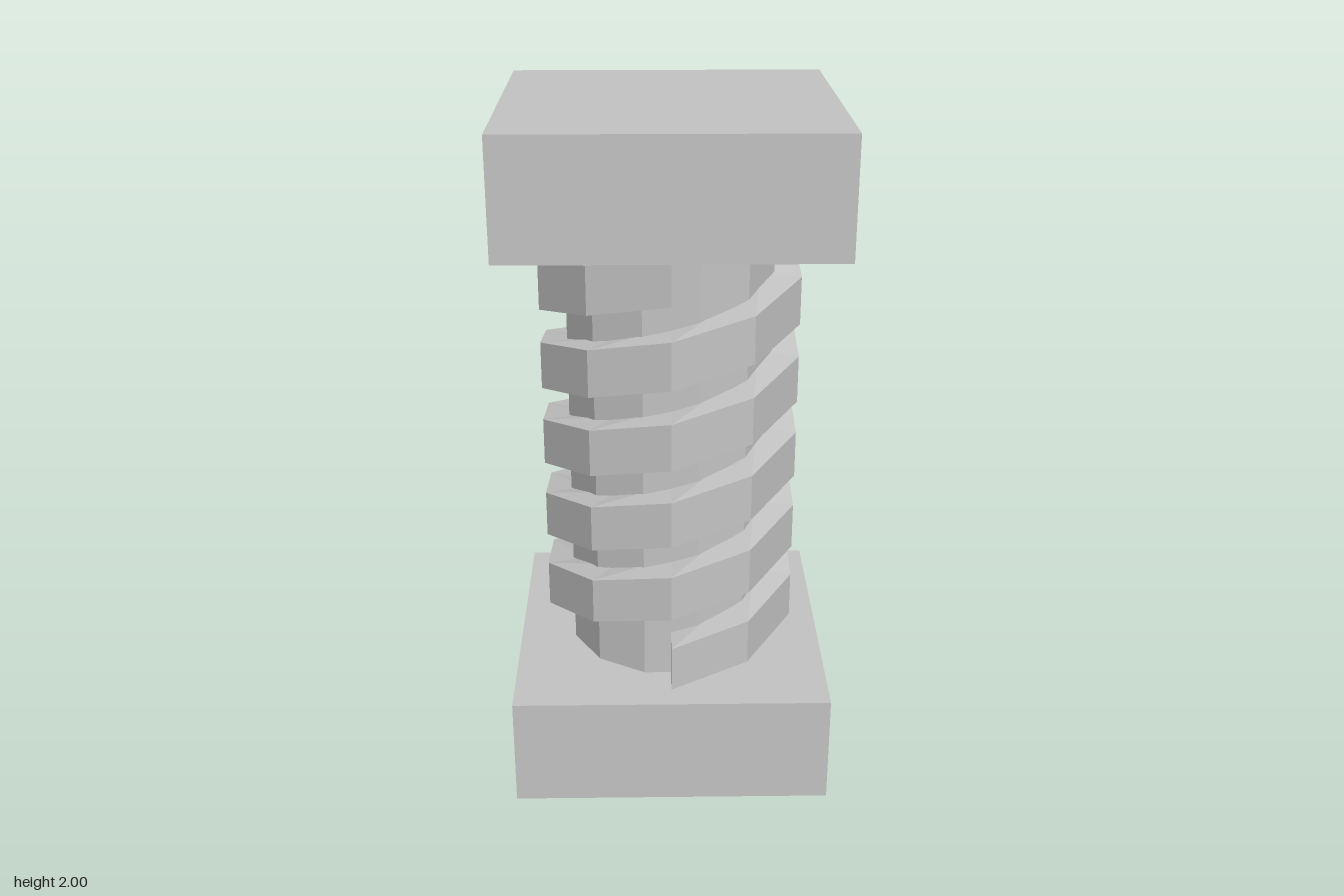
import * as THREE from 'three';

const BASE_Y = 0.333;           // top of the lower block
const TOP_Y = 1.667;            // underside of the upper block
const THREAD_H = 0.14;
const SEGMENTS = 25;            // ten per turn, two and a half turns

// Square-section helical rib, built from rectangular cross-sections
function threadGeometry(inner, outer) {
  const rise = (TOP_Y - BASE_Y - THREAD_H) / SEGMENTS;
  const profile = [[inner, 0], [outer, 0], [outer, THREAD_H], [inner, THREAD_H]];
  const positions = [];
  const index = [];
  for (let i = 0; i <= SEGMENTS; i++) {
    const a = (i * Math.PI) / 5;
    for (const [r, h] of profile) {
      positions.push(r * Math.sin(a), BASE_Y + i * rise + h, r * Math.cos(a));
    }
  }
  const quad = (a, b, c, d) => index.push(a, b, c, a, c, d);
  for (let i = 0; i < SEGMENTS; i++) {
    const p = i * 4;
    const q = p + 4;
    for (let j = 0; j < 4; j++) {
      const k = (j + 1) % 4;
      quad(p + j, q + j, q + k, p + k);
    }
  }
  // End caps
  const e = SEGMENTS * 4;
  quad(0, 1, 2, 3);
  quad(e + 3, e + 2, e + 1, e);

  const indexed = new THREE.BufferGeometry();
  indexed.setAttribute('position', new THREE.Float32BufferAttribute(positions, 3));
  indexed.setIndex(index);
  const geometry = indexed.toNonIndexed();
  geometry.computeVertexNormals();
  return geometry;
}

export function createModel() {
  const group = new THREE.Group();
  group.name = 'twistedColumn';
  const stone = new THREE.MeshStandardMaterial({ color: 0xc4c4c4, flatShading: true });
  stone.name = 'light grey stone';

  const add = (name, geometry) => {
    const mesh = new THREE.Mesh(geometry, stone);
    mesh.name = name;
    group.add(mesh);
    return mesh;
  };

  // Square blocks at both ends
  const blockGeometry = new THREE.BoxGeometry(0.932, BASE_Y, 0.932);
  add('baseBlock', blockGeometry).position.y = BASE_Y / 2;
  add('topBlock', blockGeometry).position.y = 2 - BASE_Y / 2;

  // Twelve-sided shaft with a flat facing the front
  const shaft = add('shaft', new THREE.CylinderGeometry(0.307, 0.307, TOP_Y - BASE_Y, 12, 1, true));
  shaft.position.y = 1;
  shaft.rotation.y = Math.PI / 12;

  // Two interleaved spiral ribs, half a turn apart
  const rib = threadGeometry(0.27, 0.39);
  for (let i = 0; i < 2; i++) {
    add('spiralRib' + (i + 1), rib).rotation.y = i * Math.PI;
  }
  return group;
}
